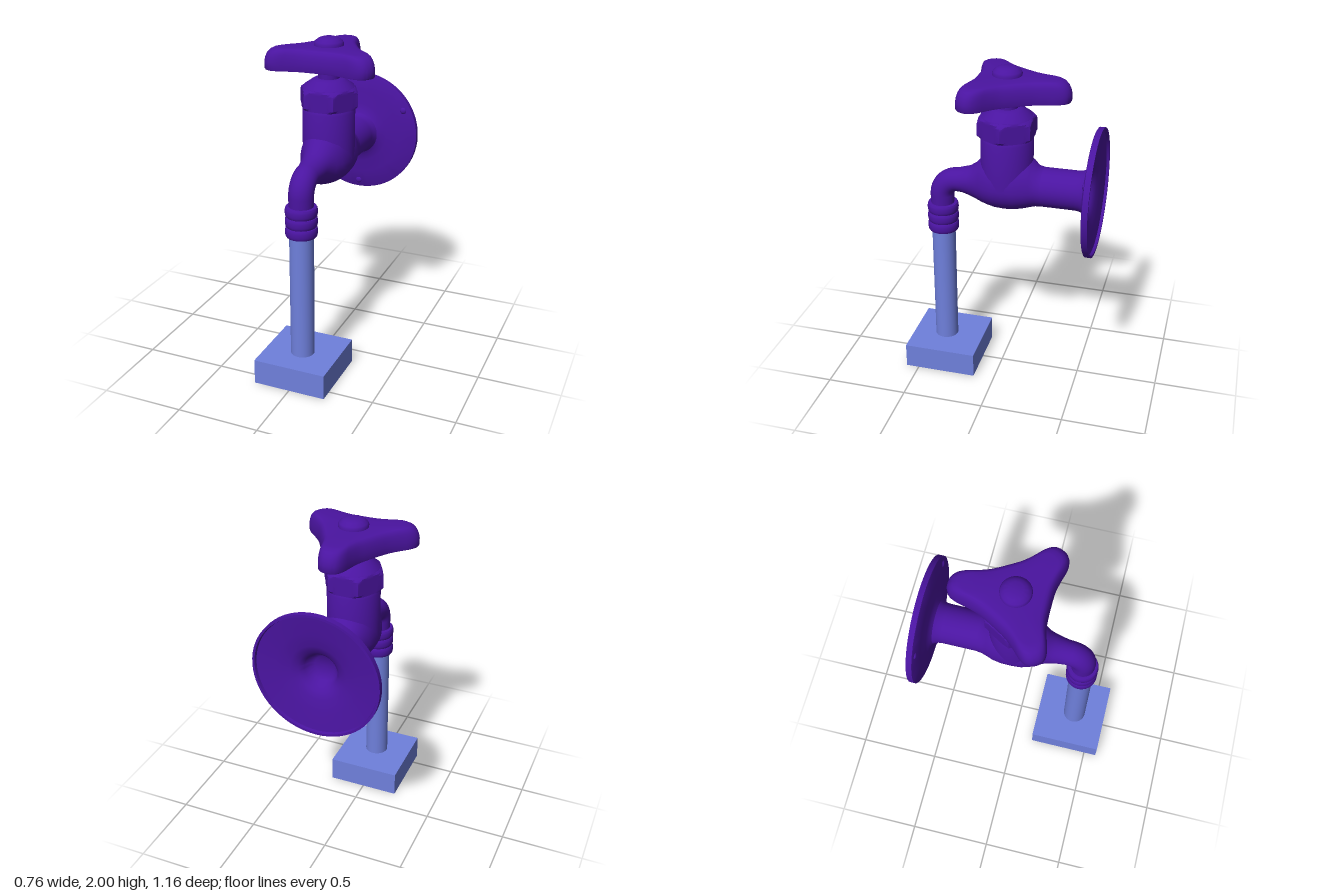
import * as THREE from 'three';
import { toCreasedNormals } from 'three/addons/utils/BufferGeometryUtils.js';

const purple = new THREE.MeshStandardMaterial({ color: 0x4a14a0 });
const blue = new THREE.MeshStandardMaterial({ color: 0x6f80dc });
const AXIS_Z = -0.03; // vertical valve axis
const PIPE_Y = 1.285; // horizontal pipe axis
const SPOUT_Z = 0.373; // outlet axis

// Skin a list of equally long closed rings of points
function loft(rings) {
  const n = rings[0].length, pos = [], idx = [];
  rings.forEach(r => r.forEach(p => pos.push(p.x, p.y, p.z)));
  for (let i = 0; i < rings.length - 1; i++) {
    for (let j = 0; j < n; j++) {
      const a = i * n + j, b = i * n + (j + 1) % n;
      idx.push(a, b, b + n, a, b + n, a + n);
    }
  }
  const g = new THREE.BufferGeometry();
  g.setAttribute('position', new THREE.Float32BufferAttribute(pos, 3));
  g.setIndex(idx);
  g.computeVertexNormals();
  return g;
}

const lathe = (pts, seg = 48) => toCreasedNormals(
  new THREE.LatheGeometry(pts.map(p => new THREE.Vector2(p[0], p[1])), seg), 0.6);

export function createModel() {
  const group = new THREE.Group();
  const add = (name, geo, mat, x = 0, y = 0, z = 0) => {
    const m = new THREE.Mesh(geo, mat);
    m.name = name;
    m.position.set(x, y, z);
    group.add(m);
    return m;
  };

  // Stand
  add('base', new THREE.BoxGeometry(0.45, 0.155, 0.45), blue, 0, 0.0775, 0.355);
  add('post', new THREE.CylinderGeometry(0.072, 0.072, 0.79, 40), blue, 0, 0.55, SPOUT_Z);

  // Ribbed outlet: three rounded rings
  const ribs = [[0, 0.926], [0.07, 0.926]];
  for (let i = 0; i < 3; i++) {
    const y = 0.957 + i * 0.062;
    for (let k = 0; k <= 8; k++) {
      const a = -Math.PI / 2 + k * Math.PI / 8;
      ribs.push([0.078 + 0.017 * Math.sqrt(Math.max(0, Math.cos(a))), y + 0.031 * Math.sin(a)]);
    }
  }
  ribs.push([0.06, 1.112]);
  add('outletRings', lathe(ribs), purple, 0, 0, SPOUT_Z);

  // Body and spout: sections of [z, y, tilt, halfWidth, up, down]
  const stations = [
    [-0.25, PIPE_Y, 0, 0.117, 0.117, 0.117],
    [-0.215, PIPE_Y, 0, 0.121, 0.125, 0.119],
    [-0.185, PIPE_Y, 0, 0.130, 0.160, 0.127],
    [-0.14, PIPE_Y, 0, 0.146, 0.190, 0.140],
    [-0.09, PIPE_Y, 0, 0.154, 0.200, 0.151],
    [-0.03, PIPE_Y, 0, 0.155, 0.200, 0.156],
    [0.03, PIPE_Y, 0, 0.151, 0.200, 0.152],
    [0.08, PIPE_Y, 0, 0.136, 0.185, 0.143],
    [0.12, PIPE_Y, 0, 0.114, 0.152, 0.132],
    [0.16, 1.283, 0, 0.094, 0.108, 0.115],
    [0.20, 1.279, 0, 0.085, 0.085, 0.095],
    [0.24, 1.273, 0, 0.078, 0.080, 0.077],
  ];
  for (let k = 0; k <= 8; k++) {
    const a = k * Math.PI / 16;
    stations.push([0.273 + 0.1 * Math.sin(a), 1.168 + 0.1 * Math.cos(a), a, 0.074, 0.074, 0.07]);
  }
  stations.push([SPOUT_Z, 1.09, Math.PI / 2, 0.072, 0.072, 0.07]);
  add('bodyAndSpout', loft(stations.map(([z, y, tilt, w, up, down]) =>
    Array.from({ length: 40 }, (_, j) => {
      const t = j * Math.PI / 20, s = Math.sin(t), h = s * (s > 0 ? up : down);
      return new THREE.Vector3(w * Math.cos(t), y + h * Math.cos(tilt), z + h * Math.sin(tilt));
    }))), purple);

  // Upright barrel with a fine groove below the nut
  add('barrel', lathe([[0.155, PIPE_Y], [0.155, 1.57], [0.15, 1.582], [0.146, 1.595], [0, 1.595]]),
    purple, 0, 0, AXIS_Z);

  // Hexagonal nut, its corners trimmed by cones
  const nutLayers = [[0, 1.59], [0.165, 1.59], [0.182, 1.605], [0.182, 1.675],
    [0.176, 1.69], [0.166, 1.702], [0.153, 1.712], [0, 1.712]];
  const nut = loft(nutLayers.map(([r, y]) => Array.from({ length: 72 }, (_, j) => {
    const t = j * Math.PI / 36, f = Math.PI / 3;
    const hex = 0.157 / Math.cos(t - Math.round(t / f) * f);
    const q = Math.min(hex, r);
    return new THREE.Vector3(q * Math.sin(t), y, q * Math.cos(t));
  })));
  add('hexNut', toCreasedNormals(nut, 0.45), purple, 0, 0, AXIS_Z);

  // Bonnet and stem
  add('bonnet', lathe([[0.155, 1.705], [0.148, 1.717], [0.098, 1.752], [0.085, 1.76], [0.06, 1.763], [0, 1.763]]),
    purple, 0, 0, AXIS_Z);
  add('stem', new THREE.CylinderGeometry(0.063, 0.063, 0.19, 32), purple, 0, 1.845, AXIS_Z);

  // Three-armed handle, hollow below; one arm as [angle from its middle, radius]
  const half = [[60, 0.185], [45, 0.192], [31, 0.216], [20, 0.265], [13.5, 0.32], [9, 0.352], [4.5, 0.367]];
  const arm = [...half.map(([a, r]) => [-a, r]), [0, 0.37],
    ...half.slice(1).reverse()];
  const outline = [];
  for (let k = 0; k < 3; k++) {
    for (const [a, r] of arm) {
      const t = THREE.MathUtils.degToRad(60 + 120 * k + a);
      outline.push(new THREE.Vector3(r * Math.sin(t), 0, r * Math.cos(t)));
    }
  }
  const rim = new THREE.CatmullRomCurve3(outline, true).getPoints(120).slice(0, -1);
  const handleLayers = [[0, 1.922], [0.72, 1.922], [0.83, 1.905], [0.89, 1.87], [0.92, 1.826],
    [0.99, 1.826], [1, 1.832], [1, 1.87], [0.985, 1.895], [0.955, 1.918], [0.91, 1.936],
    [0.85, 1.946], [0.77, 1.95], [0.5, 1.952], [0, 1.953]];
  add('handle', toCreasedNormals(loft(handleLayers.map(([s, y]) =>
    rim.map(p => new THREE.Vector3(p.x * s, y, p.z * s)))), 0.8), purple, 0, 0, AXIS_Z);

  // Cap screw on the handle
  add('handleCap', lathe([[0.085, 1.94], [0.086, 1.965], [0.08, 1.976], [0.06, 1.992], [0.04, 1.999], [0, 2.0]]),
    purple, 0, 0, AXIS_Z);

  // Wall pipe and hollow flange, turned about z
  const flange = lathe([[0, -0.44], [0.06, -0.443], [0.085, -0.46], [0.1, -0.495], [0.125, -0.522],
    [0.17, -0.538], [0.25, -0.55], [0.362, -0.562], [0.366, -0.579], [0.38, -0.579], [0.38, -0.546],
    [0.372, -0.542], [0.27, -0.53], [0.19, -0.52], [0.152, -0.513], [0.132, -0.502],
    [0.121, -0.48], [0.117, -0.45], [0.117, -0.2]], 64);
  flange.rotateX(Math.PI / 2);
  add('wallPipeAndFlange', flange, purple, 0, PIPE_Y, 0);

  // Flange screws
  for (let k = 0; k < 3; k++) {
    const a = Math.PI / 6 + k * Math.PI * 2 / 3;
    const screw = add('flangeScrew', new THREE.SphereGeometry(0.021, 16, 12), purple,
      0.335 * Math.cos(a), PIPE_Y + 0.335 * Math.sin(a), -0.541);
    screw.scale.z = 0.6;
  }
  return group;
}
